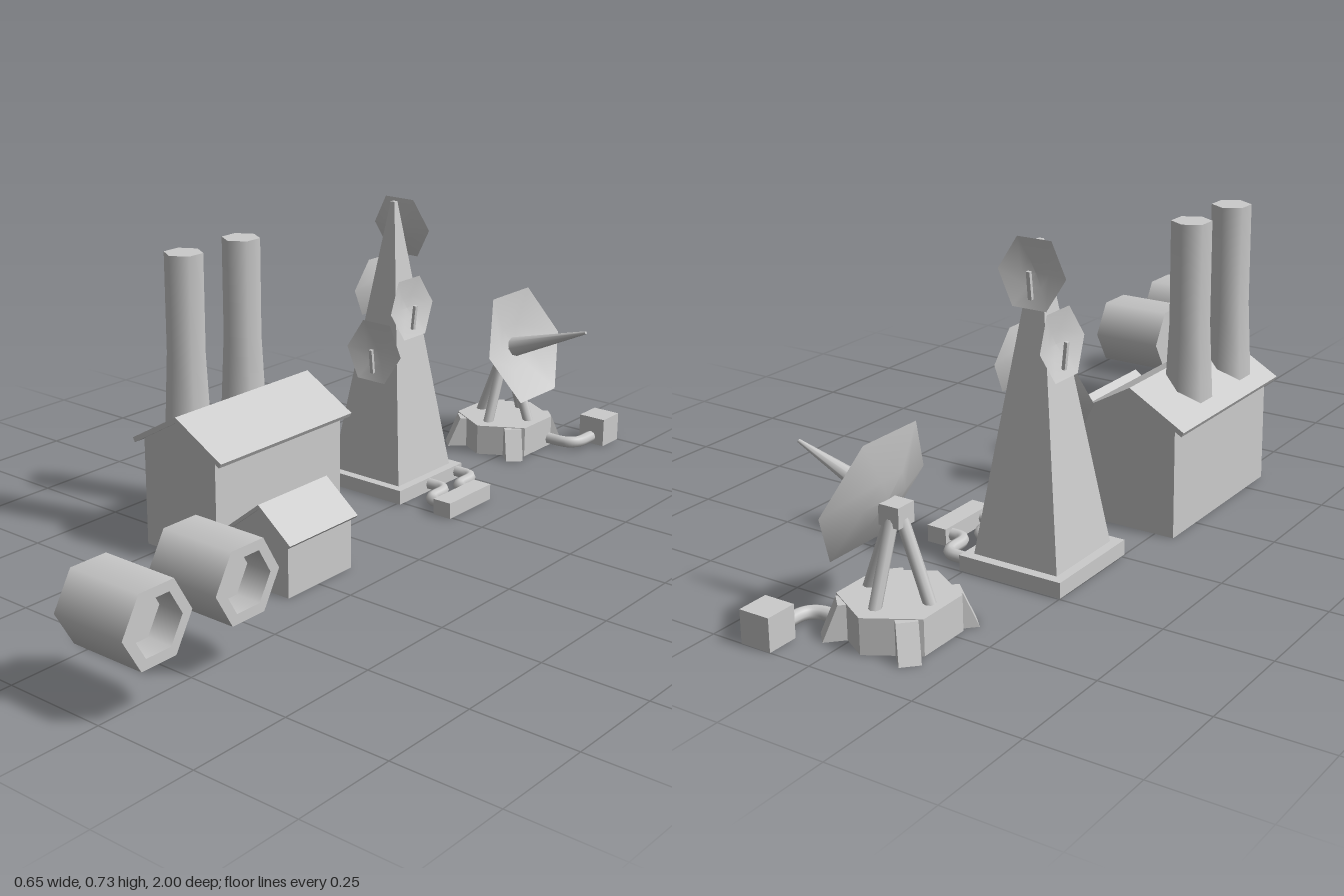
import * as THREE from 'three';

const mat = new THREE.MeshStandardMaterial({ color: 0xcccccc });
const thin = new THREE.MeshStandardMaterial({ color: 0xcccccc, side: THREE.DoubleSide });
const V = (x, y, z) => new THREE.Vector3(x, y, z);

function add(parent, name, geo, x = 0, y = 0, z = 0, m = mat) {
  const mesh = new THREE.Mesh(geo, m);
  mesh.name = name;
  mesh.position.set(x, y, z);
  parent.add(mesh);
  return mesh;
}

function group(parent, name, x = 0, y = 0, z = 0) {
  const g = new THREE.Group();
  g.name = name;
  g.position.set(x, y, z);
  parent.add(g);
  return g;
}

const box = (w, h, d) => new THREE.BoxGeometry(w, h, d);

// Prism with its outline in x/y, centred along z
function prism(points, depth) {
  const shape = new THREE.Shape(points.map(([x, y]) => new THREE.Vector2(x, y)));
  return new THREE.ExtrudeGeometry(shape, { depth, bevelEnabled: false }).translate(0, 0, -depth / 2);
}

// Straight rod between two points
function rod(parent, name, a, b, r) {
  const mesh = add(parent, name, new THREE.CylinderGeometry(r, r, a.distanceTo(b), 8));
  mesh.position.copy(a).lerp(b, 0.5);
  mesh.quaternion.setFromUnitVectors(V(0, 1, 0), b.clone().sub(a).normalize());
}

// Pipe through points, with rounded corners
function pipe(parent, name, pts, r, bend = 0.035) {
  const path = new THREE.CurvePath();
  let last = pts[0];
  for (let i = 1; i < pts.length - 1; i++) {
    const a = pts[i].clone().add(pts[i - 1].clone().sub(pts[i]).setLength(bend));
    const b = pts[i].clone().add(pts[i + 1].clone().sub(pts[i]).setLength(bend));
    path.add(new THREE.LineCurve3(last, a));
    path.add(new THREE.QuadraticBezierCurve3(a, pts[i], b));
    last = b;
  }
  path.add(new THREE.LineCurve3(last, pts[pts.length - 1]));
  add(parent, name, new THREE.TubeGeometry(path, 32, r, 8));
}

// Gabled building with an overhanging roof slab
function house(parent, name, x, z, o) {
  const g = group(parent, name, x, 0, z);
  const { half, length, ridge, slope, t, roofHalf, roofLength } = o;
  const a = Math.atan(slope), inner = ridge - t / Math.cos(a);
  const eave = inner - slope * half;
  add(g, 'walls', prism([[-half, 0], [half, 0], [half, eave], [0, inner], [-half, eave]], length));
  const ey = ridge - slope * roofHalf;
  const ix = roofHalf - t * Math.sin(a), iy = ey - t * Math.cos(a);
  add(g, 'roof', prism([[0, ridge], [-roofHalf, ey], [-ix, iy], [0, inner], [ix, iy], [roofHalf, ey]], roofLength));
  return g;
}

// Six-sided shallow bowl, opening along local +z, corners at the sides
function bowl(R, depth) {
  const profile = [[0.001, -depth], [R * 0.4, -depth * 0.85], [R, 0]].map(([x, y]) => new THREE.Vector2(x, y));
  return new THREE.LatheGeometry(profile, 6).rotateY(Math.PI / 2).rotateX(Math.PI / 2);
}

function buildFactory(root) {
  const g = group(root, 'factory');
  house(g, 'mainHall', -0.186, 0.115, { half: 0.112, length: 0.438, ridge: 0.342, slope: 0.57, t: 0.012, roofHalf: 0.14, roofLength: 0.458 });
  house(g, 'annex', 0.078, 0.243, { half: 0.079, length: 0.216, ridge: 0.203, slope: 0.8, t: 0.008, roofHalf: 0.092, roofLength: 0.232 });
  add(g, 'door', box(0.012, 0.092, 0.1), -0.073, 0.046, 0.02);
  // Chimneys with a flared foot
  const profile = [[0.056, 0.26], [0.053, 0.32], [0.046, 0.46], [0.046, 0.697]].map(([x, y]) => new THREE.Vector2(x, y));
  for (const z of [0.055, 0.245]) {
    const c = group(g, 'chimney', -0.243, 0, z);
    add(c, 'stack', new THREE.LatheGeometry(profile, 6), 0, 0, 0, thin);
    add(c, 'stackTop', new THREE.CircleGeometry(0.046, 6, Math.PI / 6).rotateX(-Math.PI / 2), 0, 0.697, 0);
  }
  for (const z of [0.16, 0.222]) rod(g, 'linkPipe', V(-0.08, 0.038, z), V(0.005, 0.038, z), 0.0145);
}

// Sideways six-sided tanks with a recess in the +x end
function buildTanks(root) {
  const R = 0.092, r = 0.066, half = 0.0925, floor = 0.03;
  const profile = (pts) => pts.map(([x, y]) => new THREE.Vector2(x, y));
  for (const z of [0.66, 0.908]) {
    const g = group(root, 'tank', 0.2325, 0.198, z);
    const parts = {
      shell: [[R, -half], [R, half]],
      backEnd: [[0, -half], [R, -half]],
      rim: [[R, half], [r, half]],
      recessWall: [[r, half], [r, floor]],
      recessFloor: [[r, floor], [0, floor]],
    };
    for (const [name, pts] of Object.entries(parts)) {
      add(g, name, new THREE.LatheGeometry(profile(pts), 6).rotateZ(-Math.PI / 2), 0, 0, 0, thin);
    }
  }
}

function buildTower(root) {
  const g = group(root, 'relayTower', -0.12, 0, -0.367);
  add(g, 'basePlate', box(0.26, 0.036, 0.26), 0, 0.018, 0);
  const mast = new THREE.CylinderGeometry(0.006 * Math.SQRT2, 0.107 * Math.SQRT2, 0.696, 4, 1).rotateY(Math.PI / 4).toNonIndexed();
  mast.computeVertexNormals();
  add(g, 'mast', mast, 0, 0.382, 0);
  // One dish per side: heading, height
  const dishes = [[0, 0.36], [Math.PI / 2, 0.468], [-Math.PI / 2, 0.51], [Math.PI, 0.662]];
  for (const [heading, y] of dishes) {
    const out = 0.107 - 0.145 * (y - 0.035) + 0.016;
    const d = group(g, 'relayDish', Math.sin(heading) * out, y, Math.cos(heading) * out);
    d.rotation.set(-0.14, heading, 0, 'YXZ');
    add(d, 'bowl', bowl(0.085, 0.016), 0, 0, 0, thin);
    const feed = add(d, 'feed', box(0.009, 0.062, 0.008), 0, -0.024, 0.004);
    feed.rotation.x = 0.25;
  }
  // Pipes to the junction box
  add(g, 'junctionBox', box(0.05, 0.04, 0.17), 0.255, 0.02, 0.04);
  for (const z of [-0.108, 0.007]) {
    const z2 = z + 0.088;
    pipe(g, 'junctionPipe', [V(0.12, 0.02, z), V(0.187, 0.02, z), V(0.187, 0.02, z2), V(0.24, 0.02, z2)], 0.0145);
  }
}

function buildSatellite(root) {
  const g = group(root, 'satelliteStation', -0.055, 0, -0.785);
  const base = new THREE.CylinderGeometry(0.127, 0.127, 0.08, 6).toNonIndexed();
  base.computeVertexNormals();
  add(g, 'base', base, 0, 0.04, 0);
  for (let i = 0; i < 4; i++) {
    const q = i * Math.PI / 2;
    // Wedge buttress on each diagonal
    const fin = add(g, 'buttress', prism([[0.08, 0], [0.158, 0], [0.125, 0.078], [0.08, 0.078]], 0.045));
    fin.rotation.y = q + Math.PI / 4;
    // Leaning leg
    const c = Math.cos(q), s = Math.sin(q);
    rod(g, 'leg', V(c * 0.078, 0.075, s * 0.078), V(c * 0.014, 0.245, s * 0.014), 0.0135);
  }
  add(g, 'head', box(0.05, 0.045, 0.05), 0, 0.256, 0);
  // Tilted main dish with its long feed horn
  const d = group(g, 'mainDish', 0.057, 0.288, 0);
  d.rotation.set(-0.35, Math.PI / 2, 0, 'YXZ');
  add(d, 'bowl', bowl(0.164, 0.038), 0, 0, 0, thin);
  add(d, 'feedHorn', new THREE.CylinderGeometry(0.004, 0.026, 0.235, 8).rotateX(Math.PI / 2), 0, 0, 0.083);
  // Supply box
  add(g, 'supplyBox', box(0.075, 0.075, 0.075), 0.192, 0.0375, -0.1775);
  pipe(g, 'supplyPipe', [V(0.08, 0.02, -0.055), V(0.19, 0.02, -0.055), V(0.19, 0.02, -0.15)], 0.0155, 0.05);
}

export function createModel() {
  const root = new THREE.Group();
  root.name = 'industrialOutpost';
  buildFactory(root);
  buildTanks(root);
  buildTower(root);
  buildSatellite(root);
  return root;
}
